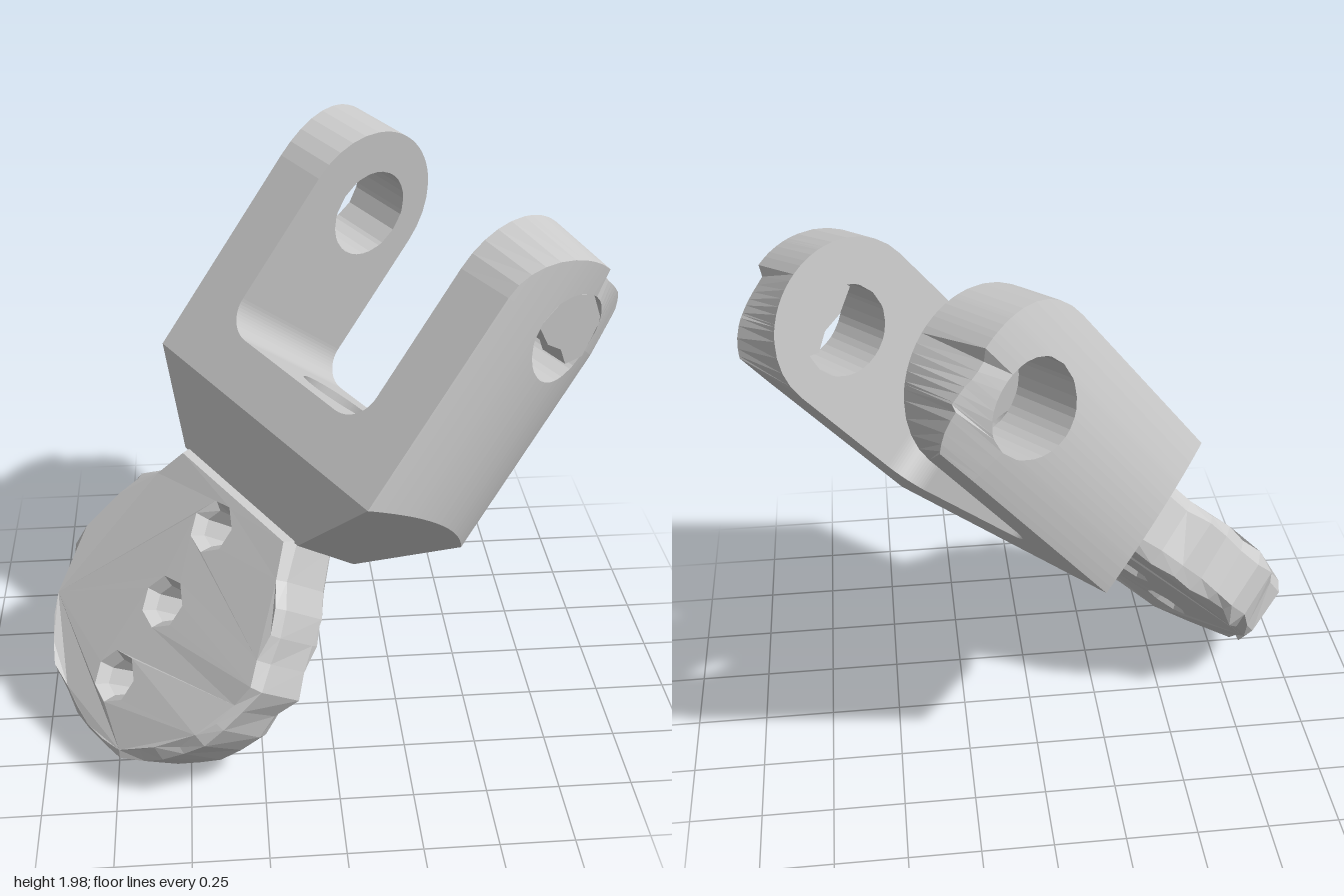
import * as THREE from 'three';

const mat = new THREE.MeshStandardMaterial({ color: 0xcccccc, flatShading: true });
const inside = new THREE.MeshStandardMaterial({ color: 0xcccccc, side: THREE.BackSide });

// repeatable roughness in -1..1
const rough = (a, b = 0) => {
  const s = Math.sin(Math.round(a * 1000) * 12.9898 + Math.round(b * 1000) * 78.233) * 43758.5453;
  return 2 * (s - Math.floor(s)) - 1;
};

// joins [y, z] cross-sections along x, with flat end caps
function loft(xs, sections) {
  const pos = [];
  const put = (i, k) => pos.push(xs[i], ...sections[i][k]);
  const n = sections[0].length, last = xs.length - 1;
  for (let i = 0; i < last; i++) {
    for (let k = 0; k < n; k++) {
      const m = (k + 1) % n;
      put(i, k); put(i, m); put(i + 1, m);
      put(i, k); put(i + 1, m); put(i + 1, k);
    }
  }
  for (let k = 1; k < n - 1; k++) {
    put(last, 0); put(last, k); put(last, k + 1);
    put(0, 0); put(0, k + 1); put(0, k);
  }
  const g = new THREE.BufferGeometry();
  g.setAttribute('position', new THREE.Float32BufferAttribute(pos, 3));
  g.computeVertexNormals();
  return g;
}

// fork sizes: x = across an arm, y = along the fork, z = from arm to arm
const HALF = 0.293, INNER = 0.348, OUTER = 0.555, BASE = 0.715, FLOOR = 0.9;
const PIN = 1.485, PIN_X = 0.025, PIN_R = 0.157, NECK = 0.458;

function add(group, name, geometry, material = mat) {
  const m = new THREE.Mesh(geometry, material);
  m.name = name;
  group.add(m);
}

// arm with a round tip, a pin hole and a bulging outer side
function arm(side) {
  const g = new THREE.Group();
  const xs = [];
  for (let i = 0; i <= 16; i++) {
    const c = -Math.cos((i / 16) * Math.PI);
    xs.push(c * HALF);
    if (i % 2 === 0) xs.push(PIN_X + c * PIN_R);
  }
  xs.sort((a, b) => a - b);
  const lower = [], upper = [];
  for (const x of xs) {
    const bulge = 0.06 * (1 - (x / HALF) ** 2);
    const hole = Math.sqrt(Math.max(0, PIN_R ** 2 - (x - PIN_X) ** 2));
    const rise = Math.sqrt(Math.max(0, HALF ** 2 - x * x));
    // the outer edge of the tip is squarer and broken on one half
    const broken = x > 0;
    const n = rough(Math.round(x * 14), side);
    const edge = broken
      ? (side > 0 ? 0.225 : 0.25) * Math.sqrt(1 - (0.85 * x / HALF) ** 4) + 0.02 * n
      : rise * (side > 0 ? 0.85 : 1);
    const out = OUTER + bulge;
    const chip = broken ? 0.02 * (1 + n) : 0;
    const low = [[BASE, INNER], [PIN - hole, INNER], [PIN - hole, out], [BASE + bulge, out], [BASE, OUTER]];
    const up = [[PIN + hole, INNER], [PIN + rise, INNER], [PIN + Math.max(edge, hole), out - chip], [PIN + hole, out]];
    for (const [list, s] of [[lower, low], [upper, up]]) {
      const pts = s.map(([y, z]) => [y, z * side]);
      list.push(side > 0 ? pts : pts.reverse());
    }
  }
  add(g, 'armShank', loft(xs, lower));
  add(g, 'armTip', loft(xs, upper));
  return g;
}

function fork() {
  const g = new THREE.Group();
  g.name = 'fork';
  for (const side of [1, -1]) {
    const a = arm(side);
    a.name = side > 0 ? 'frontArm' : 'backArm';
    g.add(a);

    // rounded inside corner
    const r = 0.11, s = new THREE.Shape();
    s.moveTo(0, 0);
    s.lineTo(r, 0);
    s.absarc(r, r, r, -Math.PI / 2, -Math.PI, true);
    s.lineTo(0, 0);
    const f = new THREE.ExtrudeGeometry(s, { depth: HALF * 2, bevelEnabled: false, curveSegments: 8 });
    f.translate(0, 0, -HALF).rotateY(side > 0 ? Math.PI / 2 : -Math.PI / 2);
    f.translate(0, FLOOR, side * INNER);
    add(g, 'insideCorner', f);
  }

  // rough web closing most of the front pin hole on its outer side
  const web = new THREE.Shape([[-0.155, -0.02], [-0.06, -0.05], [0.02, -0.04], [0.09, -0.07], [0.15, -0.02],
    [0.12, 0.11], [0, 0.16], [-0.12, 0.11]].map(p => new THREE.Vector2(...p)));
  const webGeo = new THREE.ExtrudeGeometry(web, { depth: 0.1, bevelEnabled: false });
  add(g, 'pinHoleWeb', webGeo.translate(PIN_X, PIN, 0.5));

  // slot floor with a round hole
  const plate = new THREE.Shape([[-HALF, -INNER], [HALF, -INNER], [HALF, INNER], [-HALF, INNER]].map(p => new THREE.Vector2(...p)));
  plate.holes.push(new THREE.Path().absarc(0, 0, 0.14, 0, Math.PI * 2, true));
  const floor = new THREE.ExtrudeGeometry(plate, { depth: FLOOR - BASE, bevelEnabled: false, curveSegments: 16 });
  add(g, 'slotFloor', floor.rotateX(-Math.PI / 2).translate(0, BASE, 0));
  const bore = new THREE.CylinderGeometry(0.14, 0.14, 0.39, 24, 1, true);
  add(g, 'bore', bore.translate(0, FLOOR - 0.195, 0), inside);
  add(g, 'boreEnd', new THREE.CircleGeometry(0.14, 24).rotateX(-Math.PI / 2).translate(0, FLOOR - 0.39, 0));

  // tapered underside
  const h = BASE - NECK;
  const taper = new THREE.CylinderGeometry(Math.SQRT2, Math.SQRT2 * 0.57, h, 4, 1, true);
  taper.rotateY(Math.PI / 4).scale(HALF, 1, OUTER).translate(0, NECK + h / 2, 0);
  add(g, 'taper', taper);
  add(g, 'neck', new THREE.BoxGeometry(HALF * 1.14, 0.03, OUTER * 1.14).translate(0, NECK + 0.015, 0));
  return g;
}

// round paddle with a chipped rim and three holes in line
function paddle() {
  const pts = [], N = 26, MID = -0.015;
  for (let i = 0; i <= N; i++) {
    const t = (0.75 + 1.5 * i / N) * Math.PI, r = 0.502 + 0.015 * rough(i, 3);
    pts.push(new THREE.Vector2(r * Math.cos(t), MID + r * Math.sin(t)));
  }
  pts.push(new THREE.Vector2(0.3, 0.47), new THREE.Vector2(-0.3, 0.47));
  const s = new THREE.Shape(pts);
  for (const y of [0.32, 0.01, -0.3]) {
    const ring = [];
    for (let i = 0; i < 7; i++) {
      const t = (-i / 7) * Math.PI * 2;
      ring.push(new THREE.Vector2(0.06 * Math.cos(t), y + 0.065 * Math.sin(t)));
    }
    s.holes.push(new THREE.Path(ring));
  }
  const g = new THREE.ExtrudeGeometry(s, {
    depth: 0.19, bevelThickness: 0.04, bevelSize: 0.025, bevelOffset: -0.025, bevelSegments: 1,
  });
  g.translate(0, 0, -0.095);
  // roughen the rim, leaving the middle and the neck flat
  const p = g.attributes.position;
  for (let i = 0; i < p.count; i++) {
    const x = p.getX(i), y = p.getY(i), z = p.getZ(i);
    if (Math.hypot(x, y - MID) > 0.4 && y < 0.4) {
      const k = 1 + 0.015 * rough(x + z, y);
      p.setXYZ(i, x * k, y * k, z * (0.97 + 0.13 * rough(y, x + z)));
    }
  }
  g.rotateY(Math.PI / 2).translate(-0.065, 0, 0);
  g.computeVertexNormals();
  return g;
}

export function createModel() {
  const body = new THREE.Group();
  body.name = 'clevis';
  body.add(fork());
  add(body, 'paddle', paddle());

  // lean the whole piece over
  const along = new THREE.Vector3(0.564, 0.783, -0.263).normalize();
  const pin = new THREE.Vector3(0.563, -0.135, 0.816).normalize();
  const across = along.clone().cross(pin).normalize();
  pin.crossVectors(across, along);
  body.quaternion.setFromRotationMatrix(new THREE.Matrix4().makeBasis(across, along, pin));
  body.position.set(-0.457, 0.42, 0.269);

  const model = new THREE.Group();
  model.name = 'model';
  model.add(body);
  return model;
}
